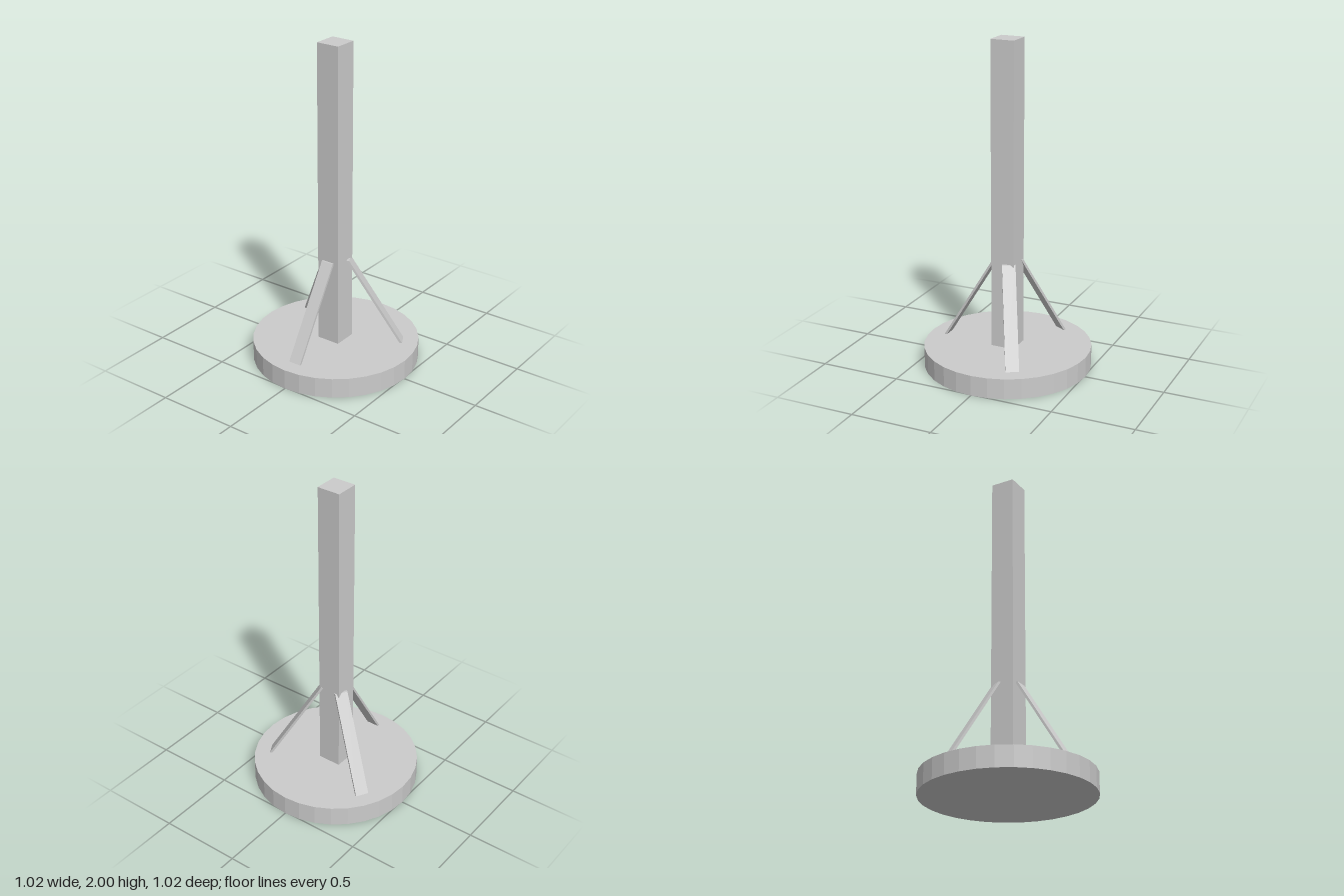
import * as THREE from 'three';

export function createModel() {
  const group = new THREE.Group();
  const material = new THREE.MeshStandardMaterial({ color: 0xcccccc, flatShading: true });
  const add = (name, geometry) => {
    const mesh = new THREE.Mesh(geometry, material);
    mesh.name = name;
    group.add(mesh);
    return mesh;
  };

  const baseHeight = 0.125;

  // Round base plate
  add('base', new THREE.CylinderGeometry(0.51, 0.51, baseHeight, 32)).position.y = baseHeight / 2;

  // Square post, set very slightly off centre
  const postHeight = 2 - baseHeight;
  add('post', new THREE.BoxGeometry(0.146, postHeight, 0.146))
    .position.set(-0.003, baseHeight + postHeight / 2, -0.002);

  // Flat slanted braces, cut level at both ends
  const width = 0.08;
  const profile = new THREE.Shape([
    new THREE.Vector2(0.398, baseHeight),
    new THREE.Vector2(0.414, baseHeight),
    new THREE.Vector2(0.086, 0.662),
    new THREE.Vector2(0.07, 0.662),
  ]);
  const braceGeometry = new THREE.ExtrudeGeometry(profile, { depth: width, bevelEnabled: false });
  braceGeometry.translate(0, 0, -width / 2);
  const braces = { rightBrace: 180, frontBrace: 61.5, backBrace: -59.5 };
  for (const [name, degrees] of Object.entries(braces)) {
    add(name, braceGeometry).rotation.y = -THREE.MathUtils.degToRad(degrees);
  }

  return group;
}
